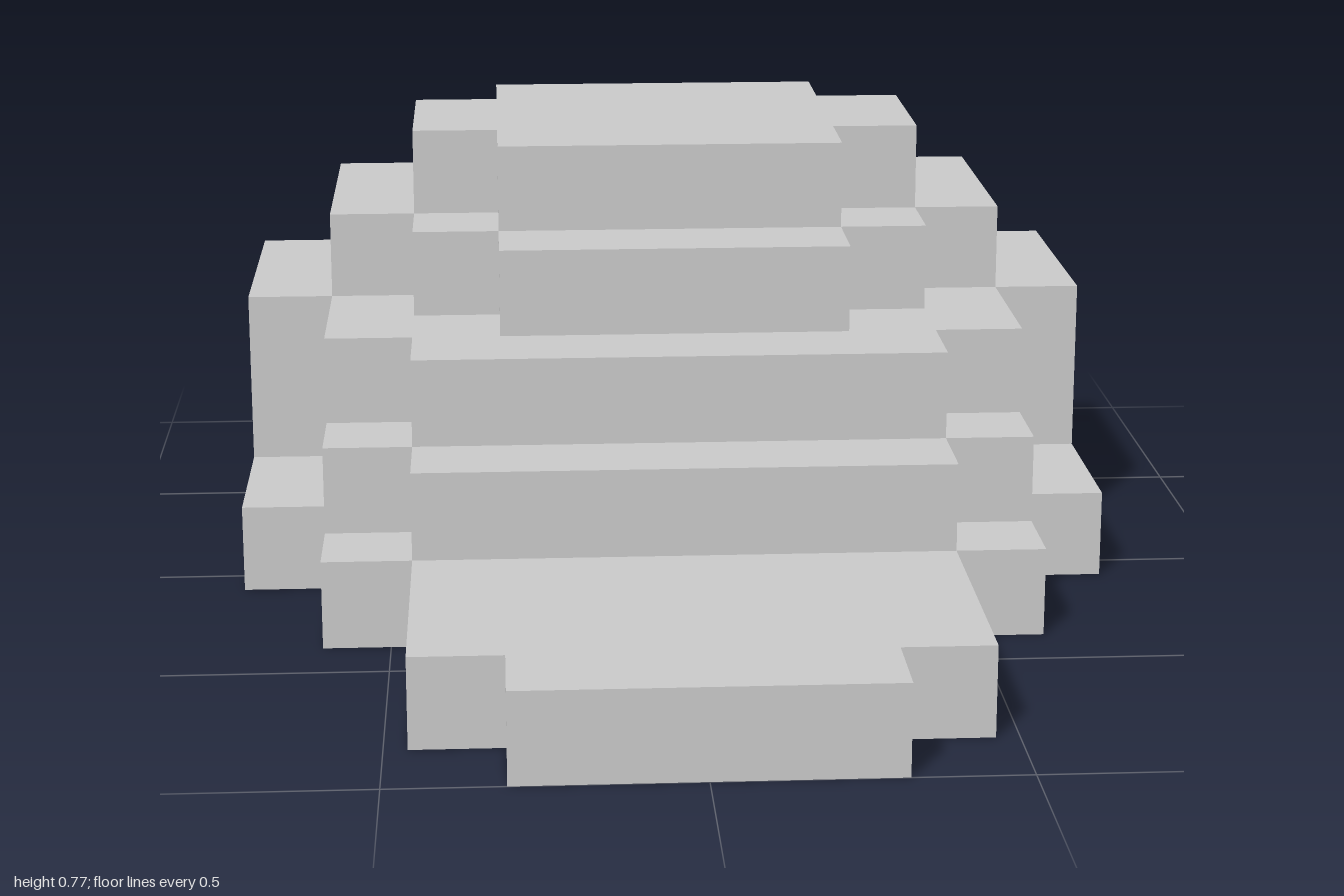
import * as THREE from 'three';

const CELL = 2 / 13; // edge of one block

// Each layer, bottom to top: bands of [half width, back, front] in blocks,
// from the middle outwards; back and front are counted from the rear end.
const LAYERS = [
  { name: 'baseLayer', bands: [[2, 0, 13], [3, 0, 12], [4, 1, 9], [5, 2, 7]] },
  // the middle band starts one block in, which leaves the rear slot
  { name: 'slottedLayer', bands: [[2, 1, 9], [3, 0, 9], [4, 1, 8], [5, 2, 5]] },
  { name: 'middleLayer', bands: [[3, 0, 8], [4, 1, 7], [5, 2, 5]] },
  { name: 'upperLayer', bands: [[2, 1, 7], [3, 1, 6], [4, 2, 5]] },
  { name: 'topLayer', bands: [[2, 2, 6], [3, 3, 5]] },
];

// Stepped outline of a layer, mirrored across x = 0
function layerShape(bands) {
  const front = [], back = [];
  bands.forEach(([w, b, f], i) => {
    const inner = i ? bands[i - 1][0] : 0;
    front.push([inner, f], [w, f]);
    back.unshift([w, b], [inner, b]);
  });
  const half = [...front, ...back].filter(([x]) => x > 0);
  const mirrored = half.map(([x, z]) => [-x, z]).reverse();
  const points = [...half, ...mirrored]
    .filter(([x, z], i, all) => i === 0 || x !== all[i - 1][0] || z !== all[i - 1][1])
    .map(([x, z]) => new THREE.Vector2(x * CELL, 1 - z * CELL));
  return new THREE.Shape(points);
}

export function createModel() {
  const model = new THREE.Group();
  model.name = 'steppedBlockModel';
  const material = new THREE.MeshStandardMaterial({ color: 0xcccccc, flatShading: true });

  LAYERS.forEach(({ name, bands }, level) => {
    const geometry = new THREE.ExtrudeGeometry(layerShape(bands), { depth: CELL, bevelEnabled: false });
    geometry.rotateX(-Math.PI / 2);
    const layer = new THREE.Mesh(geometry, material);
    layer.name = name;
    layer.position.y = level * CELL;
    model.add(layer);
  });
  return model;
}
